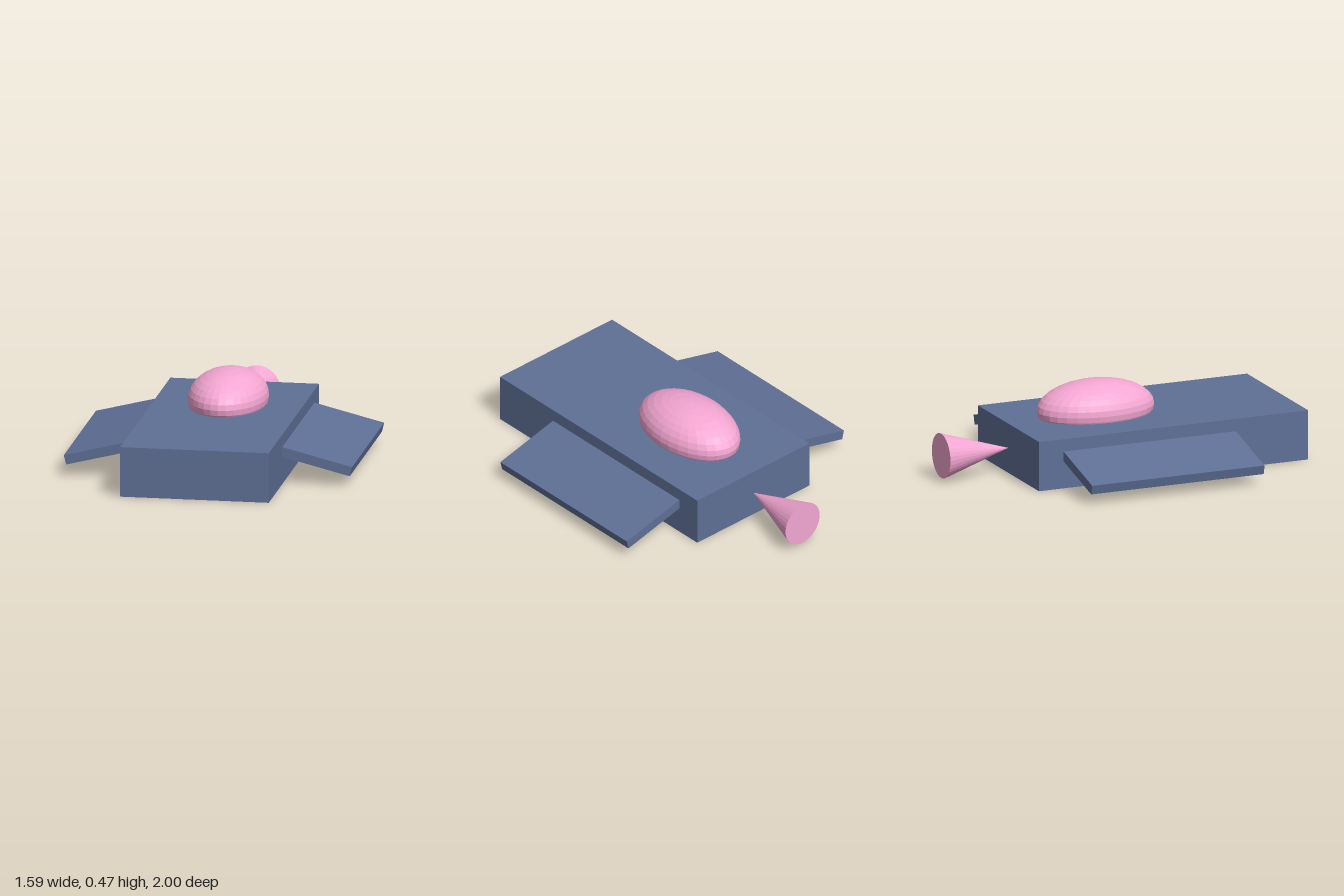
import * as THREE from 'three';

export function createModel() {
  const model = new THREE.Group();
  const blue = new THREE.MeshStandardMaterial({ color: 0x5f7096, flatShading: true });
  const pink = new THREE.MeshStandardMaterial({ color: 0xf4a6d2, flatShading: true });

  const add = (name, geometry, material, x, y, z) => {
    const mesh = new THREE.Mesh(geometry, material);
    mesh.name = name;
    mesh.position.set(x, y, z);
    model.add(mesh);
    return mesh;
  };

  // Main slab
  add('body', new THREE.BoxGeometry(0.82, 0.277, 1.6), blue, 0, 0.1385, 0.2);

  // Drooping wings, their roots sunk into the body
  const wingGeometry = new THREE.BoxGeometry(0.5, 0.053, 1.025);
  for (const side of [1, -1]) {
    const wing = add(side > 0 ? 'leftWing' : 'rightWing', wingGeometry, blue, side * 0.546, 0.146, 0.058);
    wing.rotation.z = -side * 0.245;
  }

  // Oval canopy, partly sunk into the body
  const canopy = add('canopy', new THREE.SphereGeometry(1, 32, 16), pink, 0, 0.315, -0.083);
  canopy.scale.set(0.217, 0.155, 0.337);

  // Exhaust cone, tip touching the back of the body
  const exhaust = add('exhaustCone', new THREE.ConeGeometry(0.125, 0.4, 32), pink, 0, 0.141, -0.8);
  exhaust.rotation.x = Math.PI / 2;

  return model;
}
